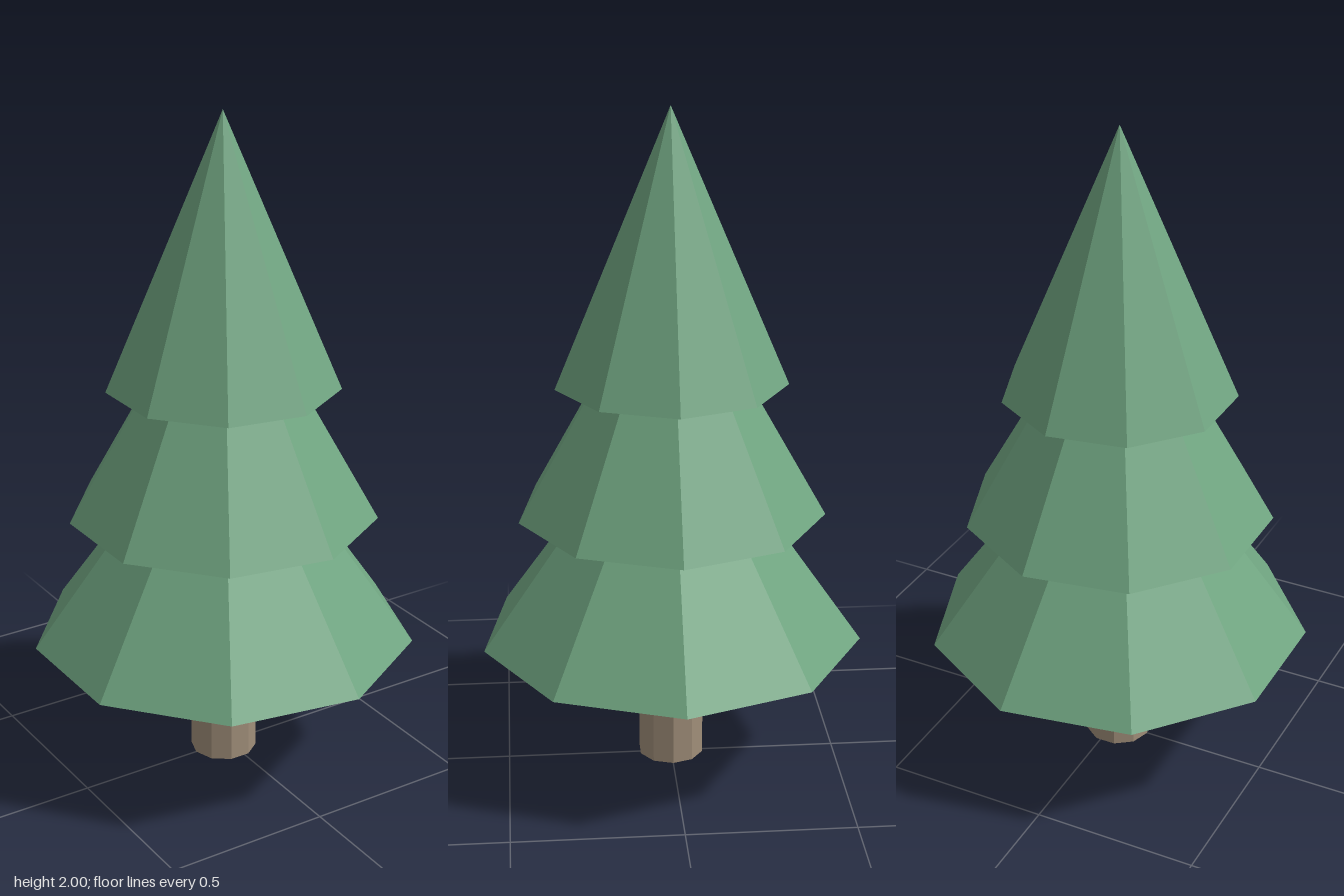
import * as THREE from 'three';

export function createModel() {
  const tree = new THREE.Group();
  tree.name = 'pineTree';

  const foliageGreen = new THREE.MeshStandardMaterial({ color: 0x70a581, flatShading: true });
  foliageGreen.name = 'foliageGreen';
  const barkBrown = new THREE.MeshStandardMaterial({ color: 0xa08e79, flatShading: true });
  barkBrown.name = 'barkBrown';

  // A nine-sided tier has one corner on +x, so its axis sits slightly to -x
  const baseRadius = 0.573;
  const axisX = -0.017;

  function addPart(name, geometry, material, bottom, height) {
    // Turn a corner to +x and stand the part on its bottom height
    geometry.rotateY(Math.PI / 2);
    geometry.translate(0, height / 2, 0);
    const mesh = new THREE.Mesh(geometry, material);
    mesh.name = name;
    mesh.position.set(axisX, bottom, 0);
    tree.add(mesh);
  }

  // Ten-sided trunk
  addPart('trunk', new THREE.CylinderGeometry(0.1, 0.1, 0.4, 10), barkBrown, 0, 0.4);

  // Three overlapping cones, each narrower than the one below
  ['lowerFoliage', 'middleFoliage', 'upperFoliage'].forEach((name, i) => {
    const radius = baseRadius * (1 - 0.2 * i);
    addPart(name, new THREE.ConeGeometry(radius, 0.8, 9), foliageGreen, 0.4 + 0.4 * i, 0.8);
  });

  return tree;
}
